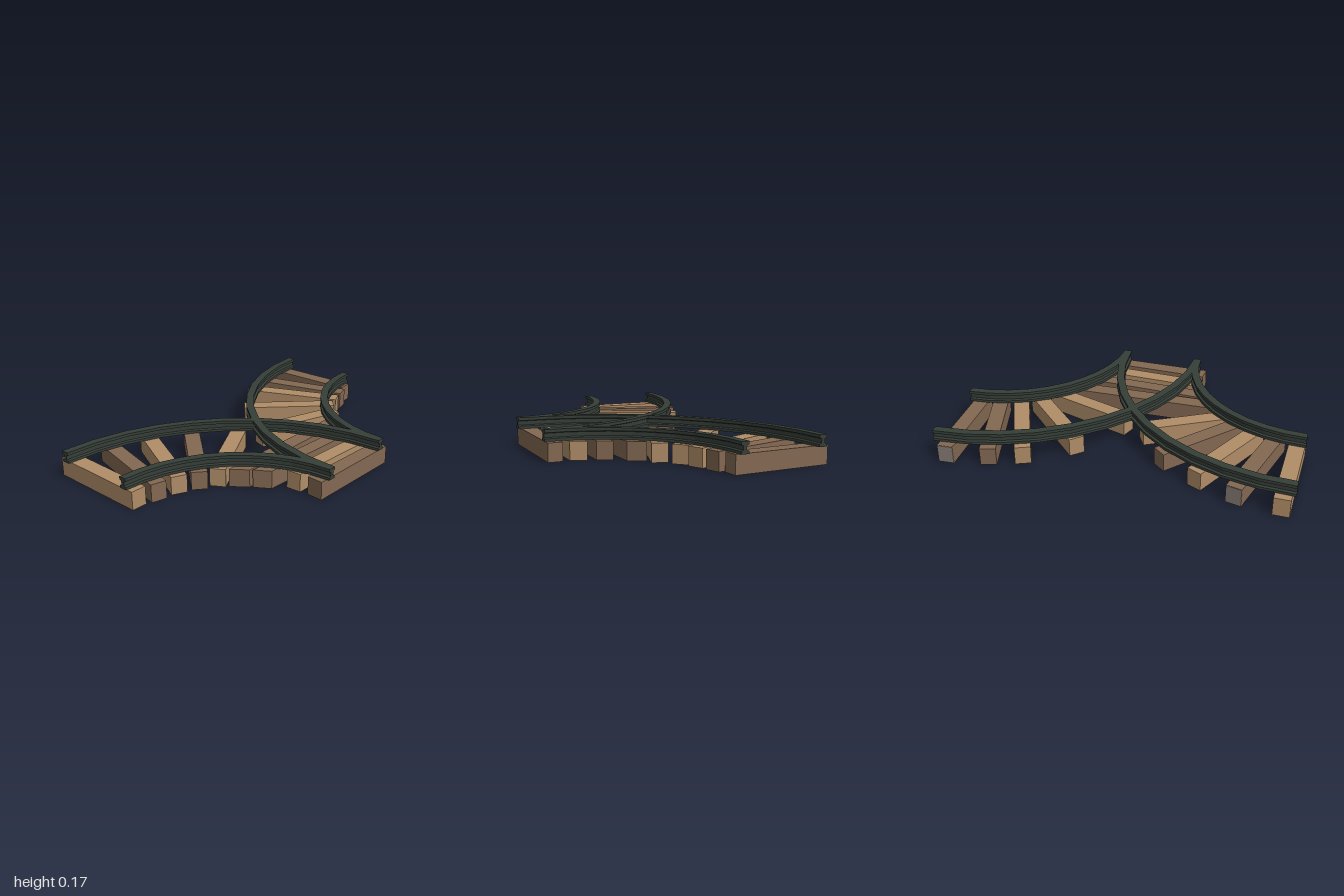
import * as THREE from 'three';

const mat = (name, color) => Object.assign(new THREE.MeshStandardMaterial({ color }), { name });

const SLEEPER_H = 0.105;
const RAIL_TOP = 0.17;

// Beam with a four-cornered plan, corners given as [x, z]
function plank(corners, material, name) {
  const shape = new THREE.Shape(corners.map(([x, z]) => new THREE.Vector2(x, z)));
  const geo = new THREE.ExtrudeGeometry(shape, { depth: SLEEPER_H, bevelEnabled: false });
  geo.rotateX(Math.PI / 2).translate(0, SLEEPER_H, 0);
  const mesh = new THREE.Mesh(geo, material);
  mesh.name = name;
  return mesh;
}

// Corners of a straight sleeper from its two end points and width
function straight([x1, z1, x2, z2], width = 0.09) {
  const len = Math.hypot(x2 - x1, z2 - z1);
  const nx = (-(z2 - z1) / len) * width / 2;
  const nz = ((x2 - x1) / len) * width / 2;
  return [[x1 + nx, z1 + nz], [x2 + nx, z2 + nz], [x2 - nx, z2 - nz], [x1 - nx, z1 - nz]];
}

// I-shaped rail section: flange half width, web half width, counter-clockwise
const F = 0.023, W = 0.01;
const SECTION = [
  [-F, SLEEPER_H], [F, SLEEPER_H], [F, 0.12], [W, 0.125], [W, 0.148], [F, 0.153],
  [F, RAIL_TOP], [-F, RAIL_TOP], [-F, 0.153], [-W, 0.148], [-W, 0.125], [-F, 0.12],
].map(([u, v]) => new THREE.Vector2(u, v));

// Quarter-ellipse rail swept from the side exit to the front exit
function rail(cx, cz, a, b, dir, material, name) {
  const steps = 10, n = SECTION.length, pos = [], index = [];
  for (let i = 0; i <= steps; i++) {
    const t = (i / steps) * Math.PI / 2;
    const px = cx + dir * a * Math.sin(t), pz = cz - b * Math.cos(t);
    const tan = new THREE.Vector2(dir * a * Math.cos(t), b * Math.sin(t)).normalize();
    for (const s of SECTION) pos.push(px + tan.y * s.x, s.y, pz - tan.x * s.x);
  }
  for (let i = 0; i < steps; i++) {
    for (let j = 0; j < n; j++) {
      const k = (j + 1) % n;
      const p = i * n + j, q = i * n + k;
      index.push(p, q, q + n, p, q + n, p + n);
    }
  }
  // End caps
  for (const [p, q, r] of THREE.ShapeUtils.triangulateShape(SECTION, [])) {
    const e = steps * n;
    index.push(p, r, q, e + p, e + q, e + r);
  }
  const indexed = new THREE.BufferGeometry();
  indexed.setAttribute('position', new THREE.Float32BufferAttribute(pos, 3));
  indexed.setIndex(index);
  const geo = indexed.toNonIndexed();
  geo.computeVertexNormals();
  const mesh = new THREE.Mesh(geo, material);
  mesh.name = name;
  return mesh;
}

export function createModel() {
  const group = new THREE.Group();
  group.name = 'railJunction';

  const light = mat('lightWood', 0xb08d68);
  const dark = mat('darkWood', 0x836852);
  const grey = mat('weatheredEnd', 0x857a74);
  const iron = mat('railIron', 0x363e38);

  // Sleepers of the two fans, running from the outer rail to the inner rail
  const fans = {
    rightSleeper: [
      [light, [-0.934, -0.637, -0.951, -0.043]],
      [dark, [-0.685, -0.602, -0.837, -0.016], true],
      [light, [-0.458, -0.513, -0.715, 0.01]],
      [dark, [-0.233, -0.38, -0.613, 0.06]],
      [light, [-0.07, -0.145, -0.525, 0.11]],
    ],
    leftSleeper: [
      [dark, [0.913, -0.652, 0.938, -0.08], true],
      [dark, [0.676, -0.612, 0.84, -0.035]],
      [light, [0.497, -0.548, 0.73, 0]],
      [light, [0.243, -0.374, 0.636, 0.037]],
      [light, [0.03, -0.07, 0.55, 0.112]],
    ],
  };
  for (const [side, list] of Object.entries(fans)) {
    list.forEach(([material, line, weathered], i) => {
      group.add(plank(straight(line), material, `${side}${i + 1}`));
      if (!weathered) return;
      // Thin grey plate on the outer end
      const [x1, z1, x2, z2] = line;
      const end = new THREE.Mesh(new THREE.BoxGeometry(0.088, SLEEPER_H - 0.004, 0.004), grey);
      end.position.set(x1, SLEEPER_H / 2, z1);
      end.rotation.y = Math.atan2(x2 - x1, z2 - z1);
      end.name = `${side}${i + 1}End`;
      group.add(end);
    });
  }

  // Tapered sleepers under the shared front exit
  [
    [dark, [[-0.487, 0.158], [0.487, 0.158], [0.433, 0.249], [-0.422, 0.249]]],
    [dark, [[-0.412, 0.262], [0.385, 0.307], [0.348, 0.388], [-0.358, 0.35]]],
    [light, [[-0.294, 0.402], [0.337, 0.436], [0.3, 0.522], [-0.289, 0.489]]],
    [dark, [[-0.283, 0.535], [0.305, 0.562], [0.305, 0.645], [-0.289, 0.629]]],
  ].forEach(([material, corners], i) => group.add(plank(corners, material, `frontSleeper${i + 1}`)));

  // Four curved rails, the outer two crossing in the middle
  group.add(
    rail(-1, 0.648, 1.24, 1.222, 1, iron, 'rightOuterRail'),
    rail(-1, 0.648, 0.775, 0.753, 1, iron, 'rightInnerRail'),
    rail(1, 0.648, 1.225, 1.24, -1, iron, 'leftOuterRail'),
    rail(1, 0.648, 0.76, 0.773, -1, iron, 'leftInnerRail'),
  );
  return group;
}
